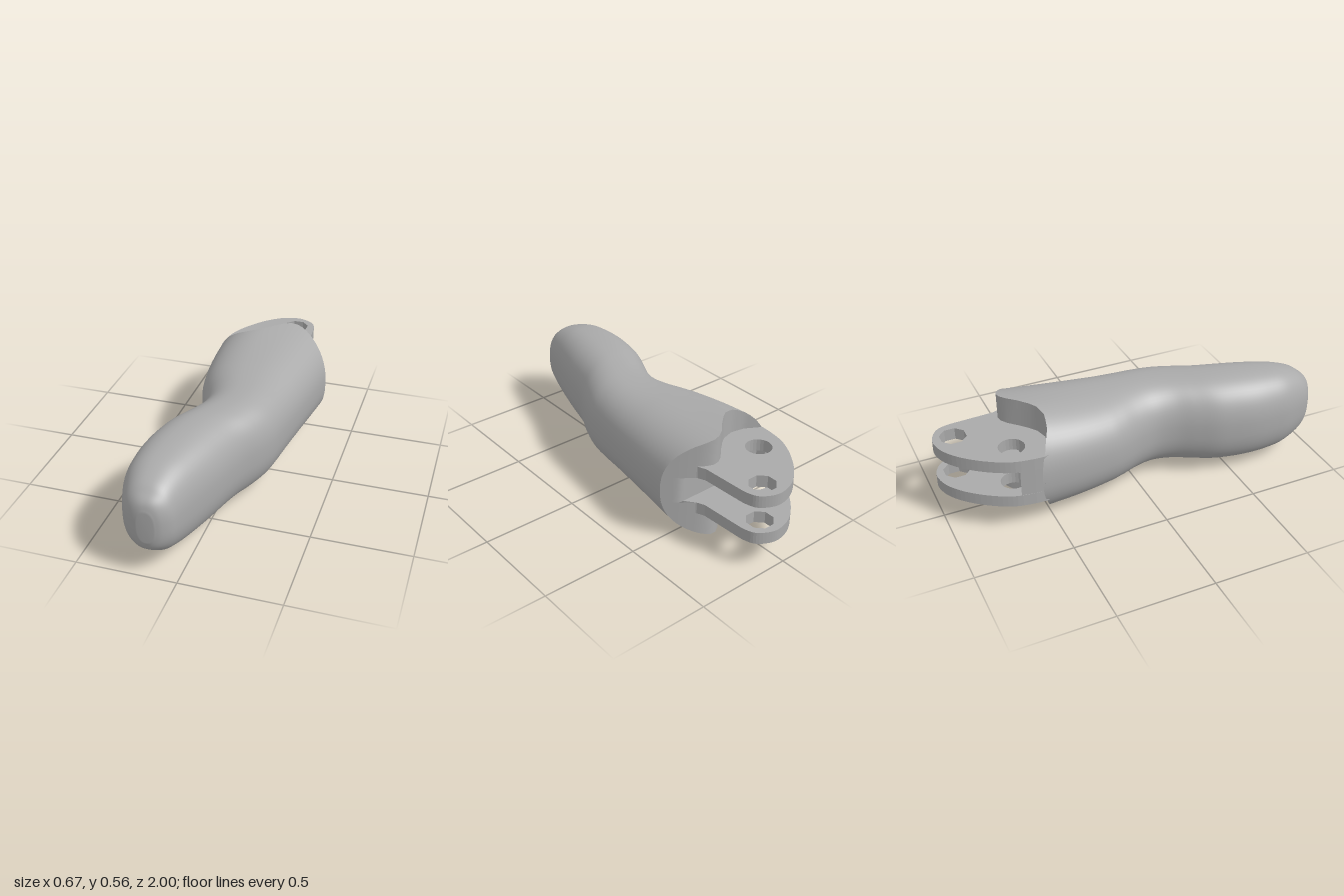
import * as THREE from 'three';

const MID = 0.28; // height of the long axis
const N = 64; // points around the grip
const ROWS = 72;

// Grip cross-sections: z, left edge, right edge, half height
const SECTIONS = [
  [1, -0.18, -0.1, 0.08], [0.985, -0.22, -0.065, 0.125], [0.95, -0.262, -0.03, 0.158],
  [0.9, -0.29, -0.01, 0.192], [0.8, -0.325, 0.022, 0.225], [0.7, -0.336, 0.054, 0.239],
  [0.6, -0.335, 0.085, 0.246], [0.5, -0.32, 0.113, 0.249], [0.4, -0.295, 0.147, 0.248],
  [0.3, -0.25, 0.195, 0.244], [0.2, -0.205, 0.232, 0.241], [0.1, -0.188, 0.25, 0.239],
  [0, -0.21, 0.265, 0.239], [-0.1, -0.25, 0.28, 0.243], [-0.2, -0.277, 0.294, 0.25],
  [-0.4, -0.298, 0.317, 0.264], [-0.6, -0.302, 0.336, 0.28],
];

// Wavy cut across the back of the grip: x, z
const CUT = [
  [-0.302, -0.57], [-0.27, -0.54], [-0.2, -0.5], [-0.13, -0.486], [-0.06, -0.505], [0, -0.552],
  [0.06, -0.615], [0.1, -0.64], [0.14, -0.645], [0.19, -0.618], [0.25, -0.572], [0.336, -0.5],
];

function cutZ(x) {
  let i = 0;
  while (i < CUT.length - 2 && x > CUT[i + 1][0]) i++;
  const [a, b] = [CUT[i], CUT[i + 1]];
  return THREE.MathUtils.lerp(a[1], b[1], THREE.MathUtils.clamp((x - a[0]) / (b[0] - a[0]), 0, 1));
}

function toGeometry(positions, indices) {
  const g = new THREE.BufferGeometry();
  g.setAttribute('position', new THREE.Float32BufferAttribute(positions, 3));
  g.setIndex(indices);
  g.computeVertexNormals();
  return g;
}

// Squarish oval rings lofted from the tip to the wavy cut
function gripRings() {
  const edges = new THREE.CatmullRomCurve3(
    SECTIONS.map(([z, l, r]) => new THREE.Vector3(l, r, z)), false, 'catmullrom');
  const heights = new THREE.CatmullRomCurve3(
    SECTIONS.map(([, , , h]) => new THREE.Vector3(h, 0, 0)), false, 'catmullrom');
  const power = (v) => Math.sign(v) * Math.abs(v) ** (2 / 2.4);
  const rings = [];
  for (let i = 0; i <= ROWS; i++) {
    const e = edges.getPoint(i / ROWS);
    const h = heights.getPoint(i / ROWS).x;
    const blend = Math.max(0, (-0.2 - e.z) / 0.4);
    const ring = [];
    for (let j = 0; j < N; j++) {
      const a = (j / N) * Math.PI * 2;
      const x = (e.x + e.y) / 2 + ((e.y - e.x) / 2) * power(Math.cos(a));
      const z = blend > 0 ? THREE.MathUtils.lerp(-0.2, cutZ(x), blend) : e.z;
      ring.push([x, MID + h * power(Math.sin(a)), z]);
    }
    rings.push(ring);
  }
  return rings;
}

function gripGeometry(rings) {
  const idx = [];
  for (let i = 0; i < ROWS; i++) {
    for (let j = 0; j < N; j++) {
      const k = (j + 1) % N;
      const a = i * N + j, b = a + N, c = i * N + k, d = c + N;
      idx.push(a, b, c, b, d, c);
    }
  }
  const tip = (ROWS + 1) * N;
  for (let j = 0; j < N; j++) idx.push(tip, j, (j + 1) % N);
  return toGeometry([...rings.flat(2), -0.14, MID, 1], idx);
}

// One horizontal band of the back face, between two heights
function bandGeometry(ring, low, high, floor) {
  const pos = [], idx = [];
  for (let j = 0; j <= N / 2; j++) {
    const [x, top, z] = ring[j];
    const bottom = ring[(N - j) % N][1];
    const depth = Math.max(z, floor);
    pos.push(x, THREE.MathUtils.clamp(top, low, high), depth);
    pos.push(x, THREE.MathUtils.clamp(bottom, low, high), depth);
    if (j < N / 2) {
      const t = j * 2;
      idx.push(t, t + 1, t + 2, t + 1, t + 3, t + 2);
    }
  }
  return toGeometry(pos, idx);
}

// Flat slab from a plan outline of x, z points
function slabGeometry(shape, low, high) {
  const g = new THREE.ExtrudeGeometry(shape, { depth: high - low, bevelEnabled: false, curveSegments: 12 });
  g.rotateX(-Math.PI / 2);
  g.translate(0, low, 0);
  return g;
}

const planPoints = (list) => list.map(([x, z]) => new THREE.Vector2(x, -z));

function hole(cx, cz, r, sides) {
  const pts = [];
  for (let i = 0; i < sides; i++) {
    const a = ((i + 0.5) / sides) * Math.PI * 2;
    pts.push(new THREE.Vector2(cx + r * Math.cos(a), -cz + r * Math.sin(a)));
  }
  return new THREE.Path(pts);
}

function lugShape() {
  const arc = new THREE.SplineCurve(planPoints([
    [-0.28, -0.6], [-0.262, -0.7], [-0.212, -0.8], [-0.135, -0.9], [-0.05, -0.97],
    [0.03, -0.998], [0.09, -0.992], [0.148, -0.955], [0.17, -0.9], [0.175, -0.84],
  ])).getPoints(40);
  const root = planPoints([[0.184, -0.65], [0.2, -0.612], [0.24, -0.56], [0.2, -0.45], [-0.26, -0.45], [-0.283, -0.55]]);
  const shape = new THREE.Shape([...arc, ...root]);
  shape.holes.push(hole(-0.14, -0.665, 0.066, 24), hole(0.065, -0.895, 0.068, 8));
  return shape;
}

export function createModel() {
  const group = new THREE.Group();
  const grey = new THREE.MeshStandardMaterial({ color: 0xaaaaaa });
  grey.name = 'grey';
  const add = (name, geometry) => {
    const mesh = new THREE.Mesh(geometry, grey);
    mesh.name = name;
    group.add(mesh);
  };

  // Curved grip and its cut back face, with a slot between the lugs
  const rings = gripRings();
  const last = rings[ROWS];
  add('grip', gripGeometry(rings));
  add('backFaceLower', bandGeometry(last, -1, 0.21, -1));
  add('backFaceSlot', bandGeometry(last, 0.21, 0.35, -0.56));
  add('backFaceUpper', bandGeometry(last, 0.35, 1, -1));

  // Pair of drilled hinge lugs
  const lug = lugShape();
  add('lowerLug', slabGeometry(lug, 0.148, 0.21));
  add('upperLug', slabGeometry(lug, 0.35, 0.413));

  // Web joining the lugs beside the inner hole
  const web = new THREE.Shape(planPoints([
    [-0.27, -0.5], [-0.282, -0.56], [-0.279, -0.6], [-0.268, -0.67], [-0.215, -0.64], [-0.195, -0.6], [-0.15, -0.58], [-0.1, -0.5],
  ]));
  add('lugWeb', slabGeometry(web, 0.21, 0.35));
  return group;
}
